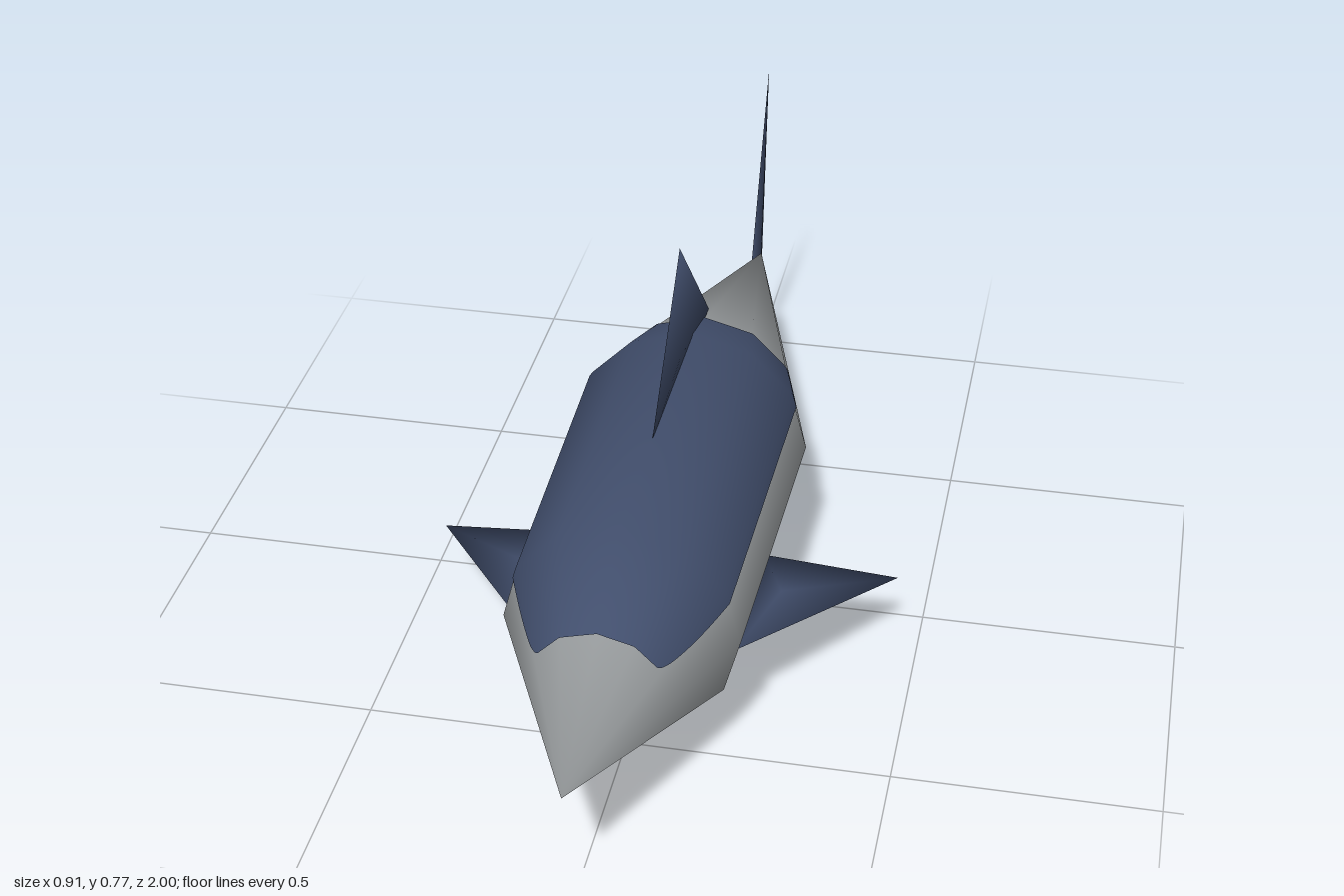
import * as THREE from 'three';

const blue = new THREE.MeshStandardMaterial({ color: 0x414e6c, side: THREE.DoubleSide });
blue.name = 'deep blue';
const grey = new THREE.MeshStandardMaterial({ color: 0xa0a4a6 });
grey.name = 'pale grey';

// Body stations from nose to tail: z, centre x, centre y, radius, normal tilt
const stations = [
  [1.0, 0, 0.29, 0, 1],
  [0.53, 0, 0.295, 0.22, 0.16],
  [-0.13, 0, 0.295, 0.235, -0.14],
  [-0.88, 0.015, 0.305, 0, -1],
];

// Point and smooth normal on the twelve-sided body at a given z and angle (degrees)
function bodyPoint(z, deg, lift) {
  let i = 0;
  while (i < stations.length - 2 && z < stations[i + 1][0]) i++;
  const a = stations[i], b = stations[i + 1];
  const t = (a[0] - z) / (a[0] - b[0]);
  const [, cx, cy, r, tilt] = a.map((v, k) => THREE.MathUtils.lerp(v, b[k], t));
  const rad = THREE.MathUtils.degToRad;
  const within = THREE.MathUtils.euclideanModulo(deg, 30) - 15;
  const reach = r * Math.cos(rad(15)) / Math.cos(rad(within));
  const c = Math.cos(rad(deg)), s = Math.sin(rad(deg));
  const across = 1 - Math.abs(tilt) ** 2 > 0 ? Math.sqrt(1 - tilt * tilt) : 0;
  const normal = new THREE.Vector3(c * across, s * across, tilt).normalize();
  const point = new THREE.Vector3(cx + c * reach, cy + s * reach, z).addScaledVector(normal, lift);
  return { point, normal };
}

// Skin over rows of z, each spanning an angle range
function skin(rows, columns, range, lift) {
  const positions = [], normals = [], index = [];
  rows.forEach((z, i) => {
    const [from, to] = range(z);
    for (let j = 0; j <= columns; j++) {
      const { point, normal } = bodyPoint(z, from + (to - from) * j / columns, lift);
      positions.push(...point.toArray());
      normals.push(...normal.toArray());
      if (i < rows.length - 1 && j < columns) {
        const a = i * (columns + 1) + j, b = a + columns + 1;
        index.push(a, b, a + 1, a + 1, b, b + 1);
      }
    }
  });
  const g = new THREE.BufferGeometry();
  g.setAttribute('position', new THREE.Float32BufferAttribute(positions, 3));
  g.setAttribute('normal', new THREE.Float32BufferAttribute(normals, 3));
  g.setIndex(index);
  return g;
}

// Thin triangular fin, bulging slightly to both sides at one inner point
function fin(name, corners, middle, thickness) {
  const [a, b, c] = corners.map(p => new THREE.Vector3(...p));
  const m = new THREE.Vector3(...middle);
  const n = b.clone().sub(a).cross(c.clone().sub(a)).normalize().multiplyScalar(thickness);
  const points = [a, b, c, m.clone().add(n), m.clone().sub(n)];
  const g = new THREE.BufferGeometry().setFromPoints(points);
  const index = [];
  for (let i = 0; i < 3; i++) {
    const j = (i + 1) % 3;
    index.push(i, j, 3, j, i, 4);
  }
  g.setIndex(index);
  g.computeVertexNormals();
  const mesh = new THREE.Mesh(g, blue);
  mesh.name = name;
  return mesh;
}

export function createModel() {
  const model = new THREE.Group();
  model.name = 'fish';

  // Spindle body
  const body = new THREE.Mesh(skin(stations.map(s => s[0]), 12, () => [0, 360], 0), grey);
  body.name = 'body';
  model.add(body);

  // Dark back with rounded corners
  const front = 0.72, rear = -0.26;
  const rows = [0.53, -0.13];
  for (let i = 0; i <= 10; i++) {
    const ease = (i / 10) ** 2;
    rows.push(front - 0.15 * ease, rear + 0.07 * ease);
  }
  rows.sort((p, q) => q - p);
  const backRange = z => {
    const t = Math.min(1, (front - z) / 0.15, (z - rear) / 0.07);
    const half = 54 + 12.5 * Math.sqrt(Math.max(0, 1 - (1 - t) ** 2));
    return [90 - half, 90 + half];
  };
  const back = new THREE.Mesh(skin(rows, 48, backRange, 0.003), blue);
  back.name = 'darkBack';
  model.add(back);

  // Dorsal fin
  model.add(fin('dorsalFin',
    [[0, 0.52, 0.25], [0, 0.48, -0.32], [-0.004, 0.775, -0.035]], [0, 0.56, 0], 0.006));

  // Tail fin
  model.add(fin('tailFin',
    [[0, 0.295, -0.835], [-0.007, 0.005, -1], [0.008, 0.71, -0.98]], [0.002, 0.33, -0.925], 0.006));

  // Pectoral fins
  for (const s of [1, -1]) {
    model.add(fin(s > 0 ? 'leftPectoralFin' : 'rightPectoralFin',
      [[s * 0.2, 0.235, 0.475], [s * 0.455, 0.164, 0.095], [s * 0.2, 0.222, 0.15]],
      [s * 0.25, 0.215, 0.26], 0.007));
  }
  return model;
}
